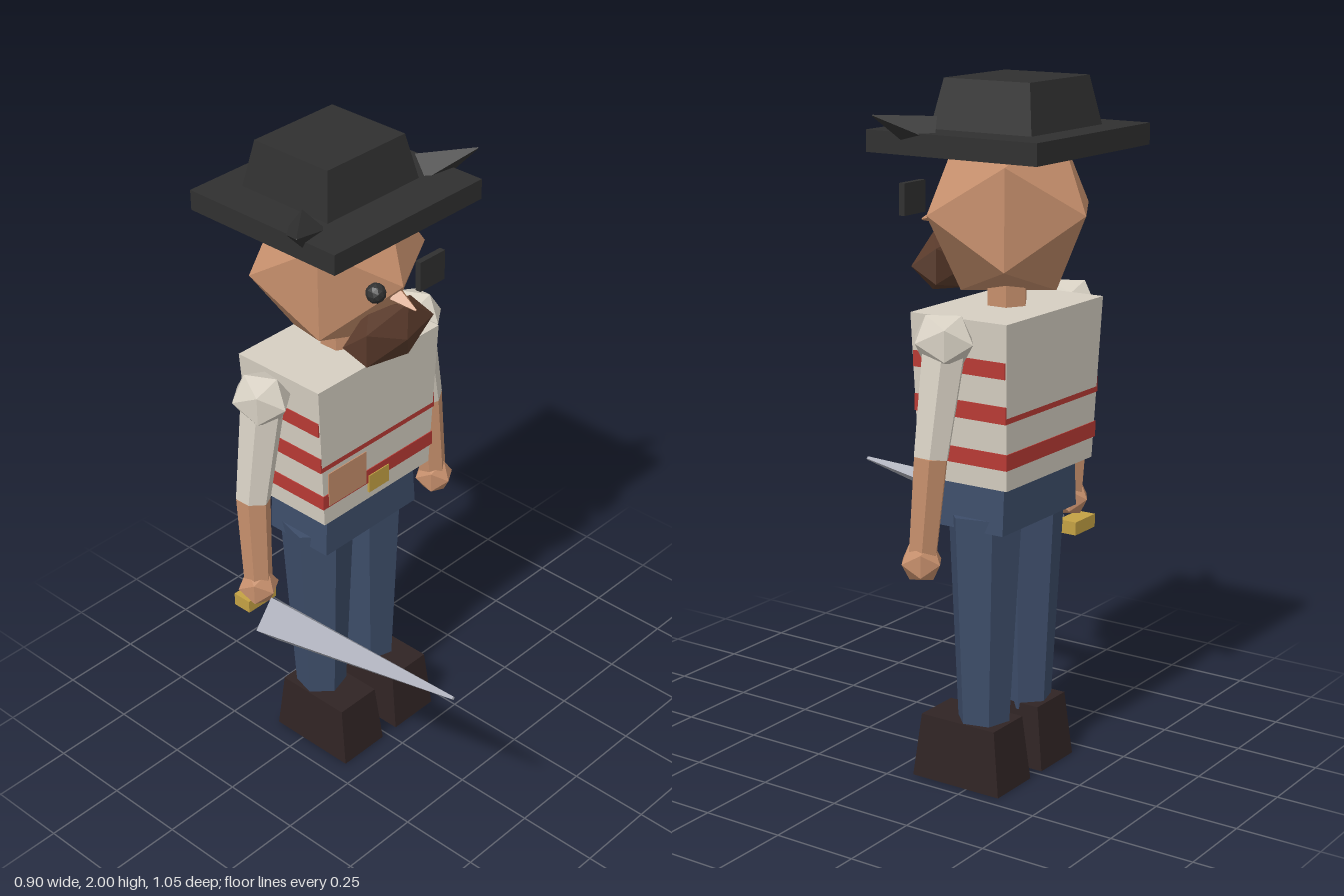
import * as THREE from 'three';

const mat = (name, color) => {
  const m = new THREE.MeshStandardMaterial({ color, flatShading: true });
  m.name = name;
  return m;
};

export function createModel() {
  const skin = mat('skin', 0xc68f6c), shirt = mat('shirt', 0xd6cfc2), red = mat('stripe red', 0xb83a34);
  const denim = mat('trouser blue', 0x3d4d69), leather = mat('boot brown', 0x302424);
  const black = mat('hat black', 0x303030), hair = mat('beard brown', 0x593a2b);
  const gold = mat('gold', 0xc4a244), steel = mat('steel', 0xa6a9b4);

  const model = new THREE.Group();
  model.name = 'swordsman';
  const body = new THREE.Group();
  body.name = 'body';
  body.position.x = 0.01;
  model.add(body);

  const add = (name, geo, material, x = 0, y = 0, z = 0) => {
    const mesh = new THREE.Mesh(geo, material);
    mesh.name = name;
    mesh.position.set(x, y, z);
    body.add(mesh);
    return mesh;
  };

  // Box standing between y0 and y1 with separate bottom and top sizes
  const taper = (name, material, x, z, y0, y1, [w0, d0], [w1, d1] = [w0, d0]) => {
    const geo = new THREE.BoxGeometry(1, y1 - y0, 1);
    const p = geo.attributes.position;
    for (let i = 0; i < p.count; i++) {
      const top = p.getY(i) > 0;
      p.setX(i, p.getX(i) * (top ? w1 : w0));
      p.setZ(i, p.getZ(i) * (top ? d1 : d0));
    }
    return add(name, geo, material, x, (y0 + y1) / 2, z);
  };

  // Faceted tapered rod from point a to point b
  const rod = (name, material, a, b, ra, rb, sides = 6, twist = 0) => {
    const va = new THREE.Vector3(...a), vb = new THREE.Vector3(...b);
    const dir = vb.clone().sub(va);
    const geo = new THREE.CylinderGeometry(rb, ra, dir.length(), sides).rotateY(twist);
    const mesh = add(name, geo, material);
    mesh.quaternion.setFromUnitVectors(new THREE.Vector3(0, 1, 0), dir.normalize());
    mesh.position.copy(va.add(vb).multiplyScalar(0.5));
    return mesh;
  };

  // Twenty-sided ball with one corner pointing forward
  const ball = (name, material, [x, y, z], [rx, ry, rz]) => {
    const geo = new THREE.IcosahedronGeometry(1, 0)
      .rotateX(Math.atan(2 / (1 + Math.sqrt(5)))).rotateZ(Math.PI / 2).scale(rx, ry, rz);
    return add(name, geo, material, x, y, z);
  };

  // Hat: brim, crown and two pointed corners
  taper('hatBrim', black, 0, -0.25, 1.805, 1.865, [0.58, 0.54]);
  taper('hatCrown', black, 0, -0.272, 1.86, 2.0, [0.36, 0.323], [0.3, 0.272]);

  // Head and face
  ball('head', skin, [0, 1.64, -0.25], [0.266, 0.266, 0.245]);
  rod('neck', skin, [0, 1.34, -0.245], [0, 1.47, -0.245], 0.06, 0.06);
  rod('nose', skin, [0, 1.605, -0.03], [0, 1.585, 0.042], 0.028, 0.003, 4);
  ball('beard', hair, [0, 1.48, -0.06], [0.17, 0.095, 0.07]);
  add('eye', new THREE.IcosahedronGeometry(0.029, 1), black, -0.093, 1.655, -0.02);
  add('eyePatch', new THREE.BoxGeometry(0.1, 0.09, 0.018), black, 0.093, 1.66, 0.009);

  // Torso with three stripe bands that break through the tapering shirt
  taper('shirt', shirt, 0, -0.25, 0.91, 1.375, [0.445, 0.286], [0.496, 0.312]);
  for (const [y0, y1, w] of [[0.97, 1.015, 0.463], [1.1, 1.148, 0.477], [1.225, 1.27, 0.49]]) {
    taper('stripe', red, 0, -0.25, y0, y1, [w, 0.2975]);
  }
  taper('pouch', skin, -0.132, -0.108, 0.975, 1.085, [0.155, 0.018]);
  taper('buckle', gold, -0.002, -0.108, 0.937, 0.995, [0.084, 0.02]);
  taper('hips', denim, 0, -0.248, 0.77, 0.93, [0.385, 0.228], [0.365, 0.225]);

  // Mirrored limbs and hat corners
  for (const s of [-1, 1]) {
    rod('hatCorner', black, [s * 0.232, 1.852, -0.145], [s * 0.355, 1.912, -0.05], 0.058, 0.002, 4, Math.PI / 4);
    rod('leg', denim, [s * 0.111, 0.17, -0.25], [s * 0.111, 0.805, -0.25], 0.076, 0.108, 6, s * 0.25);
    taper('boot', leather, s * 0.115, -0.212, 0, 0.19, [0.17, 0.293], [0.148, 0.247]);
    ball('shoulder', shirt, [s * 0.315, 1.325, -0.25], [0.08, 0.082, 0.095]);
    rod('sleeve', shirt, [s * 0.367, 1.015, -0.246], [s * 0.308, 1.32, -0.25], 0.051, 0.065);
    rod('forearm', skin, [s * 0.379, 0.75, -0.228], [s * 0.367, 1.02, -0.246], 0.042, 0.05);
    ball('hand', skin, [s * 0.382, 0.725, -0.225], [0.061, 0.061, 0.061]);
  }

  // Sword held in the right hand
  rod('swordBlade', steel, [-0.385, 0.634, -0.162], [-0.38, 0.727, 0.525], 0.074, 0.006, 4);
  taper('swordGuard', gold, -0.36, -0.265, 0.635, 0.675, [0.11, 0.06]);

  return model;
}
